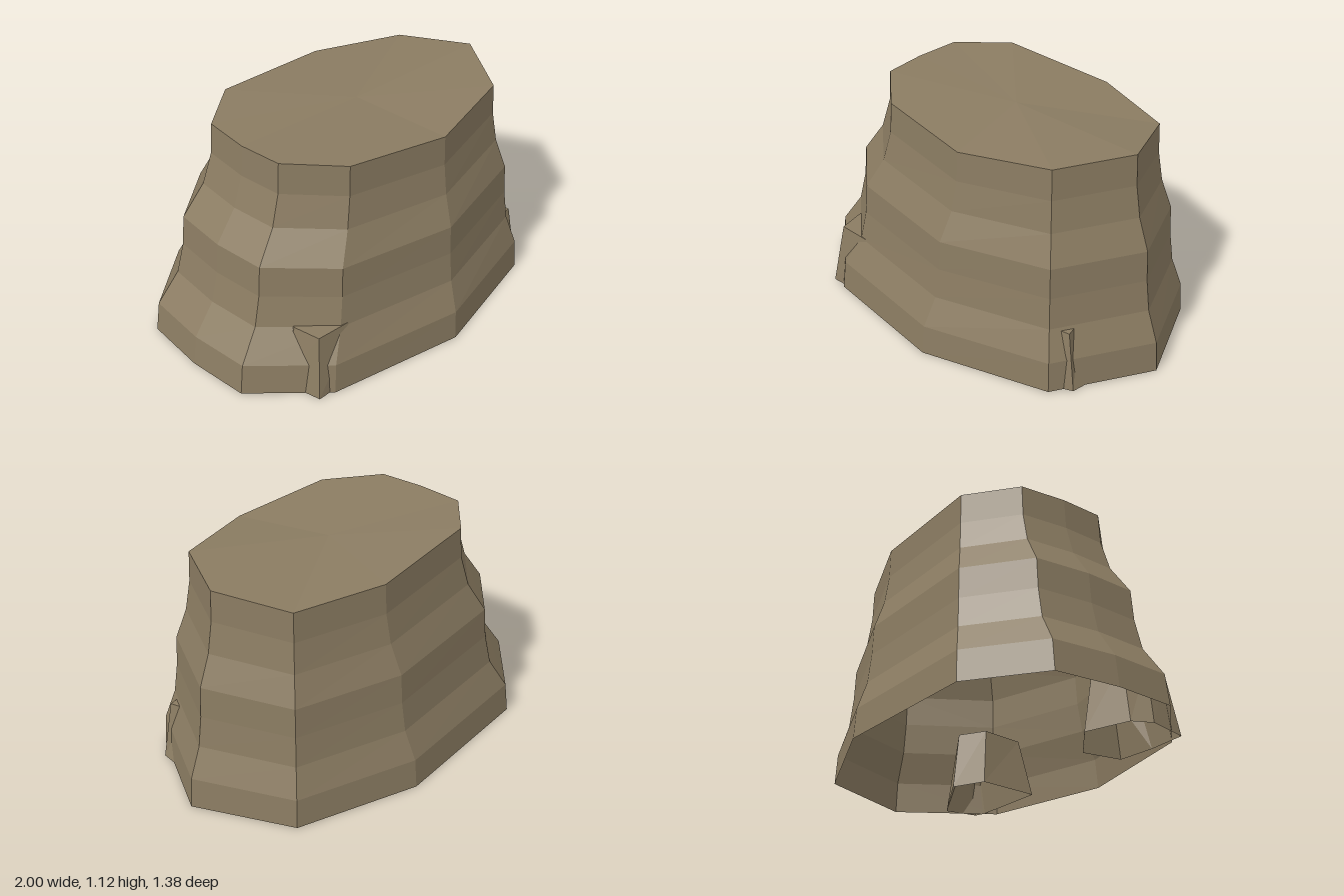
import * as THREE from 'three';

const stone = new THREE.MeshStandardMaterial({ color: 0x8b7c62, flatShading: true, side: THREE.DoubleSide });
stone.name = 'brownStone';

// Skin a stack of [x, y, z] rings, closing the last ring with a fan around a centre point
function loft(rings, centre) {
  const pos = [];
  const n = rings[0].length;
  const tri = (...points) => points.forEach((p) => pos.push(...p));
  for (let r = 0; r < rings.length - 1; r++) {
    for (let i = 0; i < n; i++) {
      const j = (i + 1) % n;
      const [a, b, c, d] = [rings[r][i], rings[r][j], rings[r + 1][i], rings[r + 1][j]];
      tri(a, c, b);
      tri(b, c, d);
    }
  }
  const top = rings[rings.length - 1];
  top.forEach((p, i) => tri(centre, top[(i + 1) % n], p));
  const geometry = new THREE.BufferGeometry();
  geometry.setAttribute('position', new THREE.Float32BufferAttribute(pos, 3));
  geometry.computeVertexNormals();
  return geometry;
}

function part(name, geometry) {
  const mesh = new THREE.Mesh(geometry, stone);
  mesh.name = name;
  return mesh;
}

// Small boulder: open base outline, slightly tapered to a flat top
function boulder(name, base, top, height) {
  const low = base.map(([x, z]) => [x, 0, z]);
  const high = top.map(([x, z]) => [x, height, z]);
  const cx = top.reduce((s, p) => s + p[0], 0) / top.length;
  const cz = top.reduce((s, p) => s + p[1], 0) / top.length;
  return part(name, loft([low, high], [cx, height, cz]));
}

export function createModel() {
  const group = new THREE.Group();
  group.name = 'rockPlateau';

  // Main rock: ten-sided foot [x, z] and rim [x, y, z], with stepped inward bands between
  const foot = [
    [-0.62, -0.69], [0.21, -0.69], [0.81, -0.43], [1.0, 0.07], [0.7, 0.53],
    [0.04, 0.685], [-0.66, 0.535], [-0.98, 0.22], [-1.0, -0.1], [-0.965, -0.43],
  ];
  const rim = [
    [-0.37, 1.12, -0.5], [0.24, 1.085, -0.5], [0.68, 1.075, -0.32], [0.81, 1.115, 0.05], [0.59, 1.105, 0.39],
    [0.12, 1.07, 0.49], [-0.4, 1.105, 0.38], [-0.625, 1.12, 0.15], [-0.64, 1.115, -0.08], [-0.615, 1.115, -0.32],
  ];
  const inset = [0, 0.06, 0.37, 0.48, 0.52, 0.83, 0.97, 1];
  const rings = inset.map((t, k) => foot.map(([x, z], i) => [
    x + (rim[i][0] - x) * t,
    rim[i][1] * k / (inset.length - 1),
    z + (rim[i][2] - z) * t,
  ]));
  group.add(part('mainRock', loft(rings, [0.05, 1.1, -0.02])));

  // Boulders half buried in the front corners
  group.add(boulder('rightBoulder',
    [[-0.51, 0.12], [-0.3, 0.29], [-0.34, 0.5], [-0.54, 0.52], [-0.745, 0.515], [-0.79, 0.3], [-0.74, 0.2]],
    [[-0.52, 0.17], [-0.34, 0.31], [-0.36, 0.44], [-0.47, 0.49], [-0.7, 0.47], [-0.725, 0.33], [-0.68, 0.22]],
    0.325));
  group.add(boulder('leftBoulder',
    [[0.48, 0.08], [0.82, 0.28], [0.787, 0.45], [0.73, 0.47], [0.33, 0.48], [0.32, 0.16]],
    [[0.49, 0.12], [0.72, 0.33], [0.74, 0.43], [0.68, 0.435], [0.38, 0.43], [0.36, 0.2]],
    0.3));

  return group;
}
